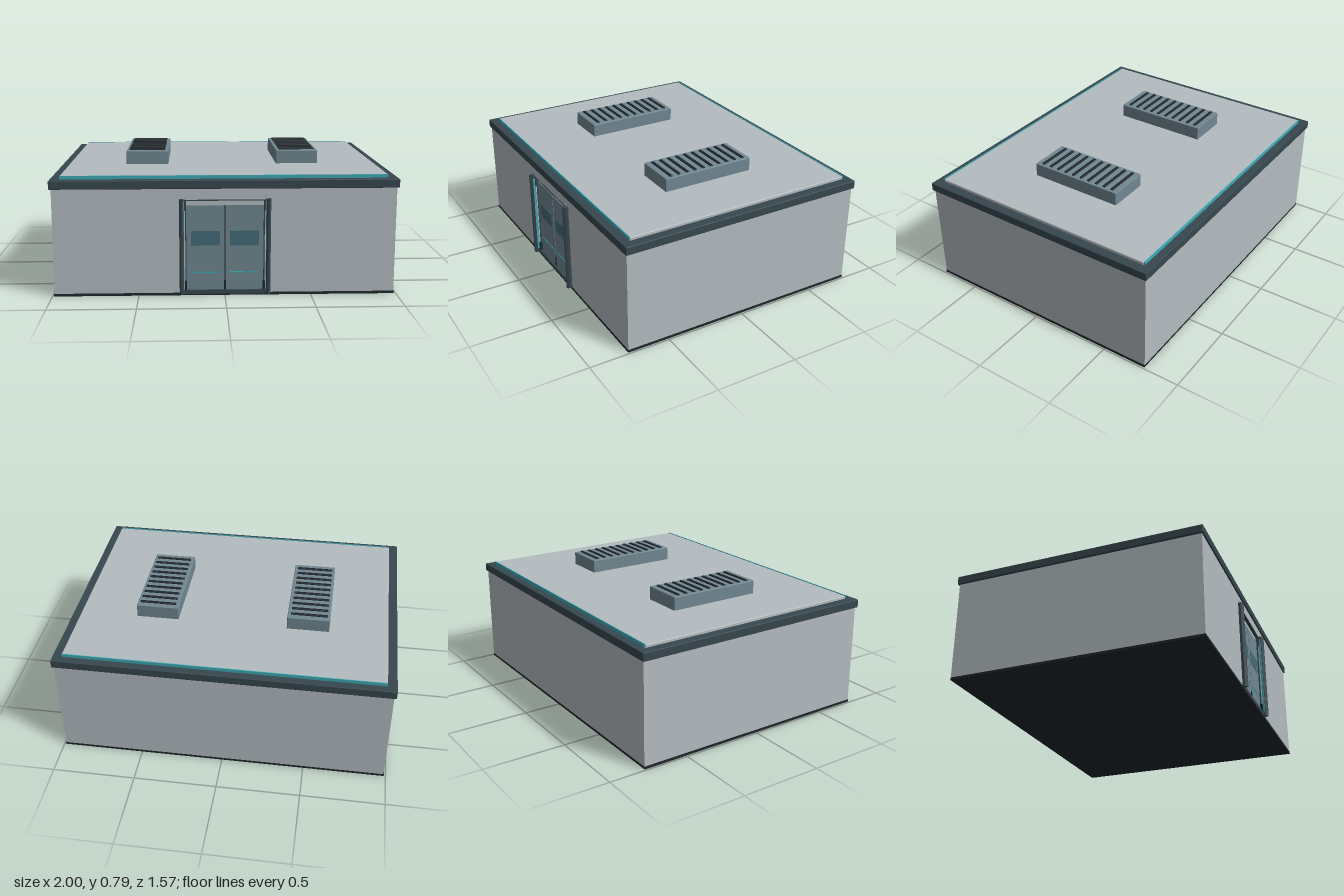
import * as THREE from 'three';
import { RoundedBoxGeometry } from 'three/addons/geometries/RoundedBoxGeometry.js';

const mat = (color) => new THREE.MeshStandardMaterial({ color });

export function createModel() {
  const model = new THREE.Group();
  const wall = mat(0xb4bcc0), dark = mat(0x37474f), base = mat(0x1f262b);
  const metal = mat(0x718791), glass = mat(0x456b78), teal = mat(0x3fa9b5);

  const add = (name, geometry, material, parent = model) => {
    const mesh = new THREE.Mesh(geometry, material);
    mesh.name = name;
    parent.add(mesh);
    return mesh;
  };
  // Box given by its limits; an optional radius rounds the edges.
  const box = (name, material, [x0, x1], [y0, y1], [z0, z1], parent = model, r = 0) => {
    const size = [x1 - x0, y1 - y0, z1 - z0];
    const geometry = r ? new RoundedBoxGeometry(...size, 2, r) : new THREE.BoxGeometry(...size);
    const mesh = add(name, geometry, material, parent);
    mesh.position.set((x0 + x1) / 2, (y0 + y1) / 2, (z0 + z1) / 2);
    return mesh;
  };
  // Limits mirrored to either side of x = 0
  const span = (s, a, b) => (s > 0 ? [a, b] : [-b, -a]);

  // Base and walls, leaving a shallow recess for the doorway
  box('basePlate', base, [-0.99, 0.99], [0, 0.015], [-0.775, 0.757]);
  box('building', wall, [-0.987, 0.987], [0.015, 0.632], [-0.775, 0.73]);
  for (const s of [1, -1]) {
    box('frontWall', wall, span(s, 0.231, 0.987), [0.015, 0.632], [0.73, 0.755]);
  }
  box('doorHeader', wall, [-0.229, 0.229], [0.565, 0.632], [0.73, 0.755]);

  // Roof: dark eave, paler raised slab, teal strips along front and back
  box('eave', dark, [-1, 1], [0.63, 0.68], [-0.785, 0.765], model, 0.004);
  box('roofSlab', wall, [-0.945, 0.945], [0.67, 0.698], [-0.735, 0.71], model, 0.006);
  box('roofTrimFront', teal, [-0.942, 0.942], [0.68, 0.7], [0.708, 0.714]);
  box('roofTrimBack', teal, [-0.942, 0.942], [0.68, 0.7], [-0.739, -0.733]);

  // Roof vents with a row of slats
  for (const s of [1, -1]) {
    const vent = new THREE.Group();
    vent.name = 'roofVent';
    model.add(vent);
    box('ventHousing', metal, span(s, 0.333, 0.591), [0.69, 0.78], [-0.306, 0.282], vent, 0.005);
    for (let i = 0; i < 10; i++) {
      const z = 0.237 - i * 0.0557;
      box('ventSlat', base, span(s, 0.353, 0.575), [0.772, 0.787], [z - 0.009, z + 0.009], vent, 0.004);
    }
  }

  // Doorway
  const door = new THREE.Group();
  door.name = 'doorway';
  model.add(door);
  box('threshold', dark, [-0.24, 0.24], [0.008, 0.03], [0.73, 0.76], door);
  box('doorLintel', wall, [-0.229, 0.229], [0.53, 0.56], [0.72, 0.738], door);
  box('doorTopRail', dark, [-0.24, 0.24], [0.56, 0.566], [0.73, 0.758], door);
  box('doorSeam', base, [-0.004, 0.004], [0.03, 0.53], [0.72, 0.739], door);

  // Posts have a pointed plan that stands proud of the wall
  const plan = new THREE.Shape([
    [-0.013, -0.74], [-0.013, -0.77], [-0.005, -0.785],
    [0.005, -0.785], [0.013, -0.77], [0.013, -0.74],
  ].map(([x, y]) => new THREE.Vector2(x, y)).reverse());
  const postGeometry = new THREE.ExtrudeGeometry(plan, { depth: 0.56, bevelEnabled: false });
  postGeometry.rotateX(-Math.PI / 2);

  for (const s of [1, -1]) {
    box('doorPanel', metal, span(s, 0.003, 0.224), [0.03, 0.53], [0.72, 0.742], door);
    box('doorWindow', glass, span(s, 0.03, 0.196), [0.293, 0.38], [0.74, 0.744], door);
    box('doorStrip', teal, span(s, 0.03, 0.196), [0.13, 0.138], [0.74, 0.745], door);
    box('doorJamb', dark, span(s, 0.223, 0.229), [0.02, 0.56], [0.728, 0.75], door);
    box('jambFoot', base, span(s, 0.22, 0.232), [0.03, 0.085], [0.73, 0.757], door);
    box('jambBracket', dark, span(s, 0.224, 0.234), [0.5, 0.56], [0.73, 0.757], door);
    add('doorPost', postGeometry, dark, door).position.set(s * 0.25, 0.012, 0);
    box('postLight', teal, span(s, 0.236, 0.239), [0.04, 0.55], [0.75, 0.768], door);
  }
  box('seamFoot', base, [-0.006, 0.006], [0.03, 0.085], [0.73, 0.746], door);

  return model;
}
